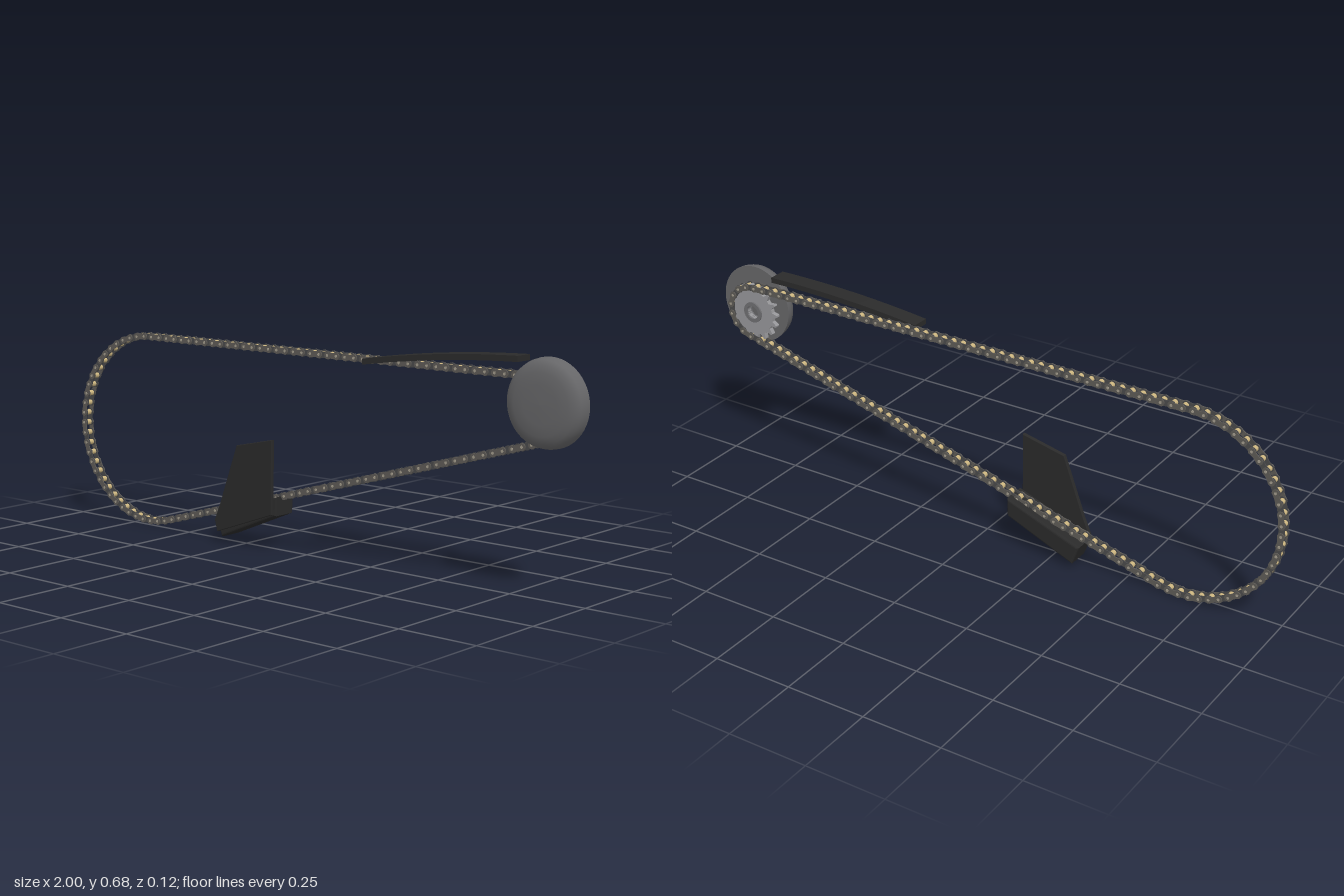
import * as THREE from 'three';
import { mergeGeometries, toCreasedNormals } from 'three/addons/utils/BufferGeometryUtils.js';

const mat = (name, color) => Object.assign(new THREE.MeshStandardMaterial({ color }), { name });

export function createModel() {
  const model = new THREE.Group();
  const outerSteel = mat('outer plate steel', 0x5e5b56);
  const innerSteel = mat('inner plate steel', 0x4a4a4b);
  const brass = mat('brass roller', 0xcdb680);
  const pinSteel = mat('pin steel', 0xa39c8c);
  const sprocketSteel = mat('sprocket steel', 0x97979a);
  const hubSteel = mat('hub steel', 0x6f6f72);
  const coverGrey = mat('cover grey', 0x666668);
  const plastic = mat('black plastic', 0x2a2a2a);

  const add = (name, geometry, material, parent = model) => {
    const mesh = new THREE.Mesh(geometry, material);
    mesh.name = name;
    parent.add(mesh);
    return mesh;
  };
  // Polygon in the side plane, extruded from z0 to z1 with an optional bevel
  const slab = (pts, z0, z1, bevel = 0) => {
    const shape = new THREE.Shape(pts.map(([x, y]) => new THREE.Vector2(x, y)));
    return new THREE.ExtrudeGeometry(shape, {
      depth: z1 - z0 - 2 * bevel, bevelEnabled: bevel > 0, bevelSize: bevel,
      bevelThickness: bevel, bevelOffset: -bevel, bevelSegments: 3,
    }).translate(0, 0, z0 + bevel);
  };

  // Chain path around a large rear circle and a small front circle
  const chainZ = -0.017, links = 130;
  const rear = { x: -0.685, y: 0.317, r: 0.3025 }, front = { x: 0.868, y: 0.5345, r: 0.085 };
  const tilt = Math.atan2(front.y - rear.y, front.x - rear.x);
  const low = -Math.PI / 2 + 2 * tilt;
  const path = new THREE.Path();
  path.absarc(front.x, front.y, front.r, tilt, Math.PI / 2, false);
  path.absarc(rear.x, rear.y, rear.r, Math.PI / 2, low + Math.PI * 2, false);
  path.absarc(front.x, front.y, front.r, low, tilt, false);
  const joints = path.getSpacedPoints(links);
  const pitch = path.getLength() / links;

  // Waisted link plate
  const linkPlate = (h, thick) => {
    const s = new THREE.Shape(), e = pitch / 2;
    s.moveTo(e, -h);
    s.absarc(e, 0, h, -Math.PI / 2, Math.PI / 2, false);
    s.quadraticCurveTo(0, h * 0.5, -e, h);
    s.absarc(-e, 0, h, Math.PI / 2, Math.PI * 1.5, false);
    s.quadraticCurveTo(0, -h * 0.5, e, -h);
    return new THREE.ExtrudeGeometry(s, { depth: thick, bevelEnabled: false, curveSegments: 6 })
      .translate(0, 0, -thick / 2);
  };
  const rod = (r, length, n) => new THREE.CylinderGeometry(r, r, length, n).rotateX(Math.PI / 2);
  const outerPlate = linkPlate(0.0115, 0.003), innerPlate = linkPlate(0.0125, 0.003);
  const roller = rod(0.0088, 0.0195, 12), pin = rod(0.0045, 0.0355, 8);
  const outers = [], inners = [], rollers = [], pins = [];
  for (let i = 0; i < links; i++) {
    const a = joints[i], b = joints[i + 1];
    const angle = Math.atan2(b.y - a.y, b.x - a.x);
    const isOuter = i % 2 === 0;
    for (const side of [-1, 1]) {
      const z = chainZ + side * (isOuter ? 0.0152 : 0.0115);
      (isOuter ? outers : inners).push((isOuter ? outerPlate : innerPlate).clone()
        .rotateZ(angle).translate((a.x + b.x) / 2, (a.y + b.y) / 2, z));
    }
    rollers.push(roller.clone().translate(a.x, a.y, chainZ));
    pins.push(pin.clone().translate(a.x, a.y, chainZ));
  }
  const chain = new THREE.Group();
  chain.name = 'chain';
  model.add(chain);
  add('outerPlates', mergeGeometries(outers), outerSteel, chain);
  add('innerPlates', mergeGeometries(inners), innerSteel, chain);
  add('rollers', mergeGeometries(rollers), brass, chain);
  add('pins', mergeGeometries(pins), pinSteel, chain);

  // Front sprocket, with valleys lined up with the rollers
  const teeth = 16, gear = new THREE.Shape();
  for (let i = 0; i < teeth; i++) {
    [[-0.2, 0.076], [0.2, 0.076], [0.42, 0.094], [0.58, 0.094]].forEach(([t, r], k) => {
      const a = tilt + (i + t) * Math.PI * 2 / teeth;
      gear[i + k ? 'lineTo' : 'moveTo'](r * Math.cos(a), r * Math.sin(a));
    });
  }
  gear.holes.push(new THREE.Path().absarc(0, 0, 0.022, 0, Math.PI * 2, true));
  const sprocket = new THREE.Group();
  sprocket.name = 'frontSprocket';
  sprocket.position.set(front.x, front.y, chainZ);
  model.add(sprocket);
  add('sprocketDisc', new THREE.ExtrudeGeometry(gear, { depth: 0.015, bevelEnabled: false })
    .translate(0, 0, -0.0075), sprocketSteel, sprocket);
  const ring = new THREE.Shape().absarc(0, 0, 0.034, 0, Math.PI * 2, false);
  ring.holes.push(new THREE.Path().absarc(0, 0, 0.022, 0, Math.PI * 2, true));
  add('sprocketHub', toCreasedNormals(new THREE.ExtrudeGeometry(ring,
    { depth: 0.026, bevelEnabled: false, curveSegments: 16 }).translate(0, 0, -0.013), 0.6), hubSteel, sprocket);

  // Domed sprocket cover with a flat back
  const profile = [[0.127, 0], [0.126, 0.015], [0.121, 0.032], [0.108, 0.042], [0.088, 0.049],
    [0.055, 0.052], [0, 0.053]].map(([r, y]) => new THREE.Vector2(r, y));
  const cover = new THREE.Group();
  cover.name = 'sprocketCover';
  cover.position.set(0.873, 0.553, 0);
  model.add(cover);
  add('coverDome', new THREE.LatheGeometry(profile, 48).rotateX(Math.PI / 2), coverGrey, cover);
  add('coverBack', new THREE.CircleGeometry(0.127, 48).rotateY(Math.PI), coverGrey, cover);

  // Upper guard: a skewed strip bowed upward
  const guard = new THREE.BoxGeometry(0.52, 0.017, 0.058, 12, 1, 1);
  const p = guard.attributes.position;
  for (let i = 0; i < p.count; i++) {
    const t = p.getX(i) / 0.52 + 0.5;
    p.setXYZ(i, p.getX(i) + 0.52, p.getY(i) + 0.621 + 0.084 * t - 0.037 * t * t,
      p.getZ(i) + 0.029 - 0.034 * t);
  }
  guard.computeVertexNormals();
  add('upperGuard', guard, plastic);

  // Lower guide block under the chain and its upright side fin
  add('guideBlock', slab([[-0.335, 0.015], [-0.107, 0.11], [-0.105, 0.17], [-0.358, 0.077]],
    -0.058, 0.025, 0.007), plastic);
  add('guideFin', slab([[-0.335, 0.035], [-0.107, 0.117], [-0.105, 0.35], [-0.25, 0.318],
    [-0.322, 0.125], [-0.345, 0.072]], 0.031, 0.044, 0.002), plastic);

  return model;
}
